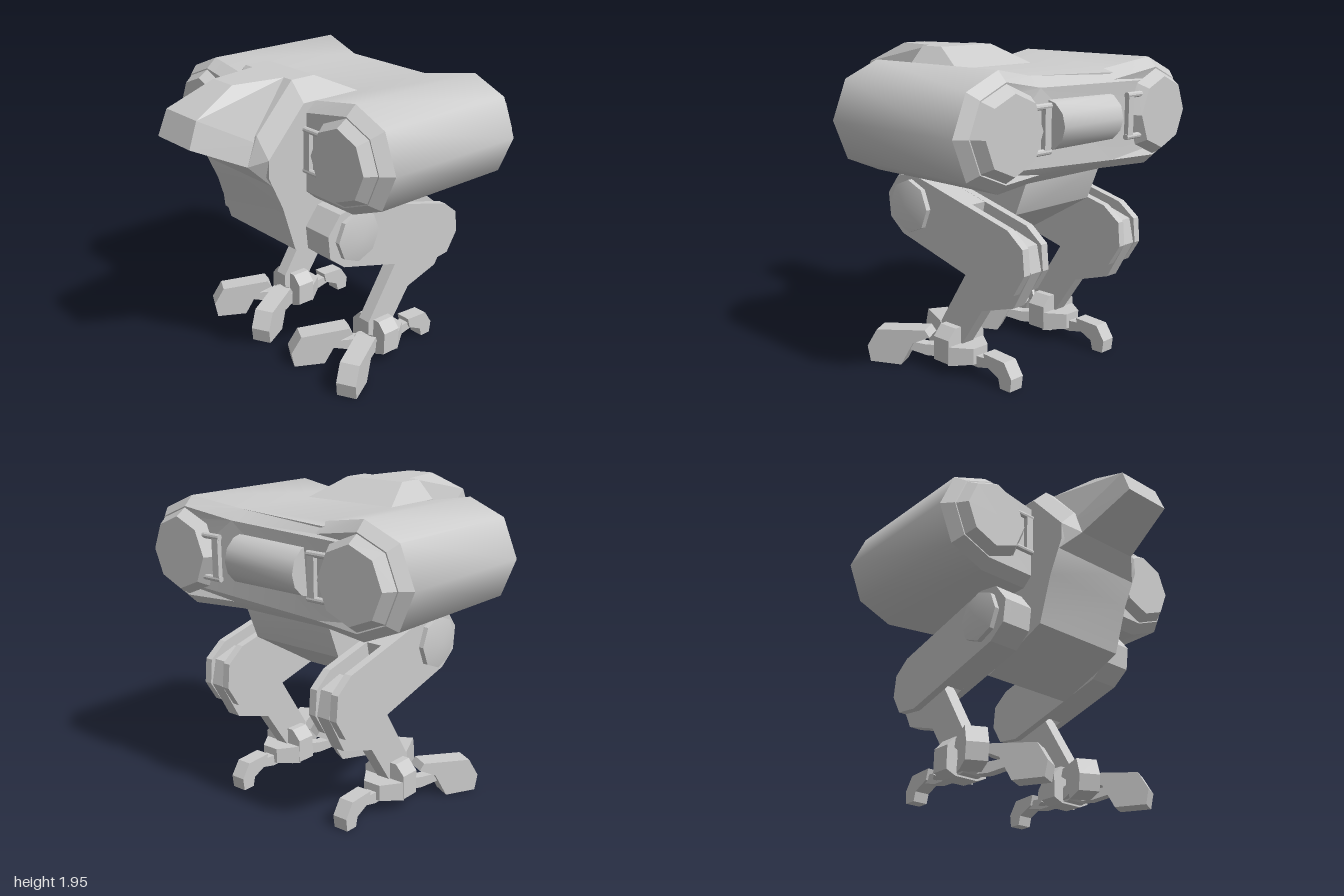
import * as THREE from 'three';
import { toCreasedNormals, mergeVertices } from 'three/addons/utils/BufferGeometryUtils.js';
import { ConvexGeometry } from 'three/addons/geometries/ConvexGeometry.js';

const grey = new THREE.MeshStandardMaterial({ color: 0xcccccc });
const V = (x, y, z) => new THREE.Vector3(x, y, z);

function add(parent, name, geo, x = 0, y = 0, z = 0) {
  const mesh = new THREE.Mesh(geo, grey);
  mesh.name = name;
  mesh.position.set(x, y, z);
  parent.add(mesh);
  return mesh;
}

// Side profile of [z, y] points, extruded across x and centred on x = 0
function prism(points, width, crease = 0.1) {
  const shape = new THREE.Shape(points.map(([z, y]) => new THREE.Vector2(z, y)));
  const geo = new THREE.ExtrudeGeometry(shape, { depth: width, bevelEnabled: false });
  geo.rotateY(-Math.PI / 2).translate(width / 2, 0, 0);
  return toCreasedNormals(geo, crease);
}

// Convex block from [x, y, z] points mirrored in x
function mirroredHull(points) {
  return new ConvexGeometry(points.flatMap(([x, y, z]) => [V(x, y, z), V(-x, y, z)]));
}

// Skin between rings ordered back to front, with closed ends
function loft(rings, crease) {
  const n = rings[0].length, index = [];
  for (let r = 0; r < rings.length - 1; r++) {
    for (let i = 0; i < n; i++) {
      const a = r * n + i, b = r * n + (i + 1) % n;
      index.push(a, b, b + n, a, b + n, a + n);
    }
  }
  const caps = (ring) => THREE.ShapeUtils.triangulateShape(ring.map((p) => new THREE.Vector2(p.x, p.y)), []);
  const last = (rings.length - 1) * n;
  caps(rings[0]).forEach(([a, b, c]) => index.push(a, c, b));
  caps(rings.at(-1)).forEach(([a, b, c]) => index.push(last + a, last + b, last + c));
  const geo = new THREE.BufferGeometry().setFromPoints(rings.flat());
  geo.setIndex(index);
  return toCreasedNormals(geo, crease);
}

// Twin octagon outline joined by a waist
function hullRing(inset, zSide, zMid) {
  const r = 0.333 - inset, half = [V(0.33, 1.222 + inset, zMid)];
  for (let i = -2; i <= 2; i++) {
    const a = i * Math.PI / 4;
    half.push(V(0.667 + r * Math.cos(a), 1.555 + r * Math.sin(a), zSide));
  }
  half.push(V(0.33, 1.83 - inset, zMid));
  return [...half, ...half.map((p) => V(-p.x, p.y, p.z)).reverse()];
}

function drum(r1, r2, length, sides = 8) {
  return toCreasedNormals(new THREE.CylinderGeometry(r1, r2, length, sides), 0.5);
}

function buildLeg(s) {
  const leg = new THREE.Group();
  leg.name = s > 0 ? 'leftLeg' : 'rightLeg';
  leg.position.x = s * 0.433;

  // Forked thigh: two plates around a shorter core
  const thigh = [[0.253, 1.05], [0.235, 0.9], [0.12, 0.81], [-0.655, 0.6], [-0.82, 0.62],
    [-0.9, 0.75], [-0.885, 0.9], [-0.77, 0.99], [0.015, 1.195], [0.16, 1.17]];
  for (const side of [-1, 1]) add(leg, 'thighPlate', prism(thigh, 0.05), side * 0.078);
  add(leg, 'thighCore', prism([[0.253, 1.05], [0.235, 0.9], [0.12, 0.81], [-0.36, 0.68],
    [-0.44, 1.075], [0.015, 1.195], [0.16, 1.17]], 0.11));

  // Hip cover
  const cover = new THREE.LatheGeometry([[0.165, 0], [0.165, 0.035], [0, 0.07]]
    .map(([x, y]) => new THREE.Vector2(x, y)), 8);
  cover.rotateZ(-s * Math.PI / 2);
  add(leg, 'hipCover', toCreasedNormals(cover, 0.5), s * 0.1, 1, 0.03);

  add(leg, 'shank', prism([[-0.16, 0.2], [-0.16, 0.29], [-0.405, 0.68], [-0.55, 0.86], [-0.7, 0.95],
    [-0.86, 0.9], [-0.895, 0.75], [-0.77, 0.52], [-0.515, 0.44], [-0.3, 0.12]], 0.09));

  // Ankle
  const foot = new THREE.Group();
  foot.name = 'foot';
  foot.position.z = -0.27;
  leg.add(foot);
  const hub = new THREE.Shape([[-0.15, 0.08], [-0.08, 0.05], [0.08, 0.05], [0.15, 0.08], [0.15, 0.23],
    [0.09, 0.295], [-0.09, 0.295], [-0.15, 0.23]].map(([x, y]) => new THREE.Vector2(x, y)));
  add(foot, 'ankleBlock', new THREE.ExtrudeGeometry(hub, { depth: 0.13, bevelEnabled: false }), 0, 0, -0.065);
  add(foot, 'ankleHeel', mirroredHull([[0.15, 0.07, -0.06], [0.15, 0.19, -0.06],
    [0.06, 0.09, -0.19], [0.06, 0.19, -0.19]]));
  add(foot, 'anklePivot', drum(0.055, 0.055, 0.14, 12).rotateZ(Math.PI / 2), 0, 0.11, 0.09);

  // Two splayed front toes and one rear toe
  const front = [[0.585, 0.1], [0.52, 0.215], [0.2, 0.243], [0.17, 0.2], [0.28, 0.15], [0.36, 0], [0.565, 0]];
  const rear = [[0.26, 0.18], [0.43, 0.17], [0.49, 0.08], [0.48, 0], [0.4, 0], [0.385, 0.06], [0.28, 0.11]];
  for (const [name, angle, profile, width] of [
    ['frontToe', -0.49, front, 0.13], ['frontToe', 0.49, front, 0.13], ['rearToe', Math.PI, rear, 0.1]]) {
    const toe = new THREE.Group();
    toe.name = name;
    toe.rotation.y = angle;
    foot.add(toe);
    add(toe, 'toeClaw', prism(profile, width));
    add(toe, 'toeLink', prism([[0.06, 0.07], [0.06, 0.15], [0.2, 0.14], [0.33, 0.15], [0.33, 0.1], [0.2, 0.07]], 0.07));
  }
  return leg;
}

export function createModel() {
  const model = new THREE.Group();
  model.name = 'walker';

  // Twin-pod hull, notched at the back
  add(model, 'hull', loft([hullRing(0.06, -0.88, -0.82), hullRing(0, -0.82, -0.74)], 0.3));
  add(model, 'hullShell', loft([hullRing(0, -0.82, -0.74), hullRing(0, 0.18, 0.18)], 0.82));
  add(model, 'hullFront', loft([hullRing(0, 0.18, 0.18), hullRing(0.06, 0.25, 0.25)], 0.3));

  // Pod caps and the brackets beside them, front and back
  for (const s of [-1, 1]) {
    for (const [dir, z] of [[1, 0.25], [-1, -0.88]]) {
      const cap = drum(0.22, 0.265, 0.067).rotateX(dir * Math.PI / 2);
      add(model, 'podCap', cap, s * 0.667, 1.555, z + dir * 0.0335);
      const zb = z + dir * 0.025;
      add(model, 'bracketPlate', new THREE.BoxGeometry(0.05, 0.26, 0.03), s * 0.375, 1.555, zb);
      for (const y of [1.43, 1.68]) {
        add(model, 'bracketRod', drum(0.018, 0.018, 0.16, 10).rotateZ(Math.PI / 2), s * 0.425, y, zb);
      }
    }
  }

  // Rear drum
  add(model, 'rearDrum', toCreasedNormals(new THREE.CylinderGeometry(0.15, 0.15, 0.53, 12), 0.6)
    .rotateZ(Math.PI / 2), 0, 1.555, -0.795);

  // Body
  add(model, 'body', prism([[0.53, 1.43], [0.53, 1.54], [0.27, 1.82], [-0.72, 1.82], [-0.72, 1.22],
    [-0.64, 1.02], [-0.15, 0.73], [0.12, 0.83], [0.335, 0.92], [0.43, 1.22]], 0.66, 0.45));

  // Collar and head
  add(model, 'collar', mirroredHull([[0.33, 1.83, -0.15], [0.22, 1.945, 0.1], [0.22, 1.945, 0.27],
    [0.33, 1.83, 0.27], [0.33, 1.54, 0.53], [0.33, 1.37, 0.5], [0.22, 1.66, 0.53], [0.22, 1.485, 0.6]]));
  add(model, 'head', mirroredHull([[0.15, 1.945, 0.27], [0.09, 1.945, 0.6], [0.15, 1.81, 0.89],
    [0.16, 1.655, 0.95], [0.22, 1.485, 0.6], [0.22, 1.6, 0.5]]));

  for (const s of [-1, 1]) model.add(buildLeg(s));
  return model;
}
